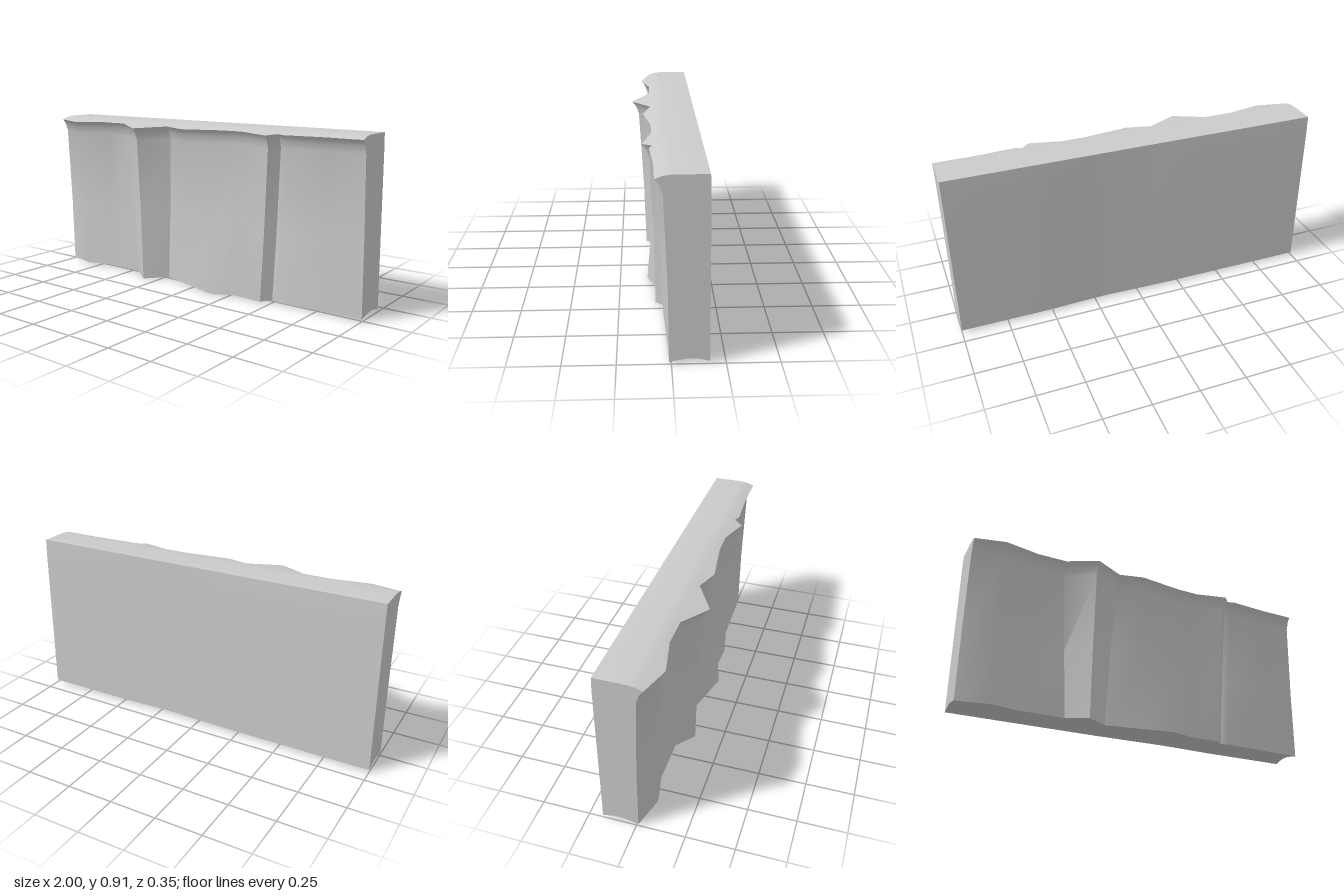
import * as THREE from 'three';
import { toCreasedNormals } from 'three/addons/utils/BufferGeometryUtils.js';

// Cliff columns: x and z at the foot, x and z at the lip
const COLUMNS = [
  [-1, 0.01, -1, 0.075],
  [-0.83, 0.055, -0.84, 0.12],
  [-0.68, 0.02, -0.65, 0.075],
  [-0.44, 0.02, -0.49, 0.075],
  [-0.335, 0.1, -0.335, 0.175],
  [-0.215, 0.01, -0.17, 0.075],
  [-0.01, 0.06, -0.04, 0.115],
  [0.155, 0.1, 0.2, 0.078],
  [0.275, 0.055, 0.33, 0.075],
  [0.445, 0.06, 0.5, 0.125],
  [0.49, 0.01, 0.545, 0.075],
  [0.525, 0.025, 0.58, 0.09],
  [0.8, 0.015, 0.8, 0.075],
  [1, 0.01, 1, 0.075],
];

// Overhang of the face: height fraction and forward offset
const OVERHANG = [[0, 0], [0.42, 0.01], [0.92, 0.033], [0.965, 0.047], [0.985, 0.058], [1, 0.07]];

// Closed cross-section: up the face, over the top, down the back, under the foot
function section([xb, zb, xt, zt]) {
  const lerp = THREE.MathUtils.lerp;
  const footY = 0.013 - 0.12 * Math.max(0, zb - 0.01);
  const lipY = 0.905 - 0.12 * zt;
  const pts = OVERHANG.map(([t, off]) => new THREE.Vector3(
    lerp(xb, xt, t), lerp(footY, lipY, t), lerp(zb, zt - 0.07, t) + off));
  const hollow = 0.012 * Math.max(0, 1 - Math.abs(xb - 0.2) / 0.32);
  const backZ = -0.176 + hollow;
  const add = (x, y, z) => pts.push(new THREE.Vector3(x, y, z));
  add(xt, 0.909, 0.04);
  add(xt, 0.915, 0);
  add(xt, 0.915, -0.16);
  add(xt, 0.83, -0.164 + hollow * 0.3);
  add(xb, 0.016, backZ);
  add(xb, 0.03, -0.12);
  add(xb, 0.03, -0.07);
  add(xb, 0.021, -0.025);
  return pts;
}

function cliffGeometry() {
  const sections = COLUMNS.map(section);
  const pos = [];
  const tri = (...vs) => vs.forEach((v) => pos.push(v.x, v.y, v.z));
  // Skin between neighbouring sections
  for (let i = 0; i < sections.length - 1; i++) {
    const p = sections[i], q = sections[i + 1], n = p.length;
    for (let j = 0; j < n; j++) {
      const k = (j + 1) % n;
      tri(p[j], q[j], q[k]);
      tri(p[j], q[k], p[k]);
    }
  }
  // Flat end caps
  for (const [s, side] of [[sections[0], -1], [sections[sections.length - 1], 1]]) {
    const flat = s.map((v) => new THREE.Vector2(v.z, v.y));
    for (const [a, b, c] of THREE.ShapeUtils.triangulateShape(flat, [])) {
      const normal = s[b].clone().sub(s[a]).cross(s[c].clone().sub(s[a]));
      if (normal.x * side > 0) tri(s[a], s[b], s[c]);
      else tri(s[a], s[c], s[b]);
    }
  }
  const geo = new THREE.BufferGeometry();
  geo.setAttribute('position', new THREE.Float32BufferAttribute(pos, 3));
  return toCreasedNormals(geo, 0.6);
}

export function createModel() {
  const group = new THREE.Group();
  group.name = 'cliffWall';
  const cliff = new THREE.Mesh(cliffGeometry(), new THREE.MeshStandardMaterial({ color: 0xcccccc }));
  cliff.name = 'rockFace';
  group.add(cliff);
  return group;
}
